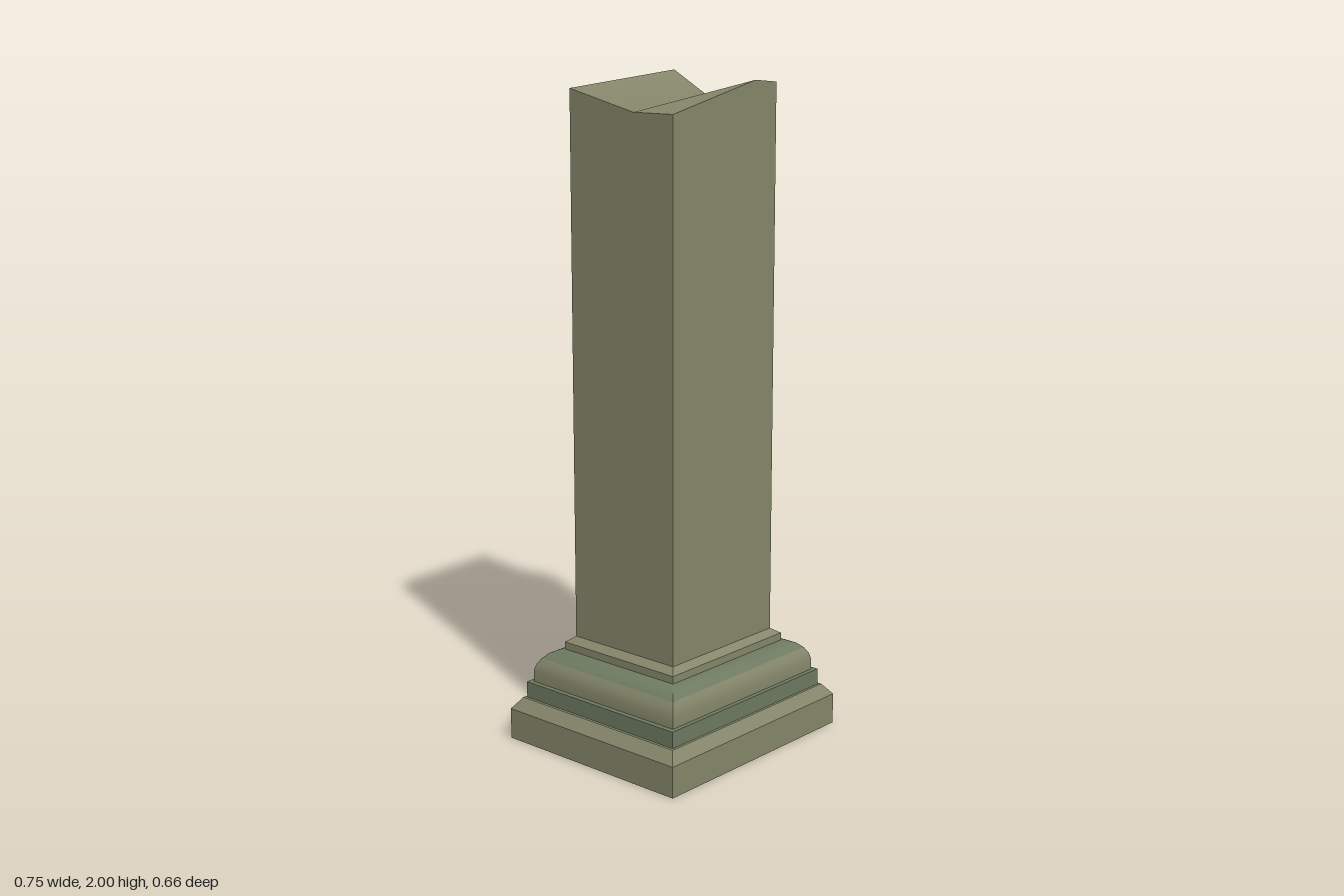
import * as THREE from 'three';
import { toCreasedNormals } from 'three/addons/utils/BufferGeometryUtils.js';

const DEPTH = 0.88; // depth of the pillar relative to its width
const stone = new THREE.MeshStandardMaterial({ color: 0x85866a });
const mossy = new THREE.MeshStandardMaterial({ color: 0x6d7a60 });

// Rectangular moulding: [half width, y] profile swept around four sides
function moulding(name, profile, material) {
  const points = profile.map(([w, y]) => new THREE.Vector2(w * Math.SQRT2, y));
  const geo = new THREE.LatheGeometry(points, 4, Math.PI / 4);
  geo.scale(1, 1, DEPTH);
  const mesh = new THREE.Mesh(toCreasedNormals(geo, 0.6), material);
  mesh.name = name;
  return mesh;
}

// Surface from corner points and triangles; smooth or faceted
function surface(name, points, triangles, smooth) {
  let geo = new THREE.BufferGeometry();
  geo.setAttribute('position', new THREE.Float32BufferAttribute(points.flat(), 3));
  geo.setIndex(triangles.flat());
  if (!smooth) geo = geo.toNonIndexed();
  geo.computeVertexNormals();
  const mesh = new THREE.Mesh(geo, stone);
  mesh.name = name;
  return mesh;
}

export function createModel() {
  const group = new THREE.Group();
  group.name = 'brokenPillar';

  // Stepped base, bottom to top
  group.add(
    moulding('plinth', [[0, 0], [0.376, 0], [0.376, 0.095], [0.347, 0.13], [0.3, 0.13]], stone),
    moulding('baseStep', [[0.338, 0.13], [0.338, 0.18], [0.3, 0.18]], mossy),
    moulding('roundedMouldingLower', [[0.322, 0.18], [0.322, 0.215], [0.316, 0.235], [0.304, 0.253]], stone),
    moulding('roundedMouldingUpper', [[0.304, 0.253], [0.286, 0.269], [0.26, 0.28], [0.22, 0.28]], mossy),
    moulding('collar', [[0.25, 0.28], [0.25, 0.303], [0.224, 0.32]], stone),
  );

  // Broken rim, running from front left around by the +x side and the back
  const W = 0.224, D = 0.197;
  const rim = [
    [-W, 1.91, D], [0.13, 1.988, D], [W, 1.979, D], [W, 1.975, 0.12],
    [W, 1.907, -0.025], [W, 2, -D], [-W, 1.965, -D], [-W, 1.909, 0.05],
  ];
  const n = rim.length;

  // Shaft walls, dropping from the rim to the collar
  const walls = [];
  for (let i = 0; i < n; i++) {
    const j = (i + 1) % n;
    walls.push([i + n, j + n, j], [i + n, j, i]);
  }
  const foot = rim.map(([x, , z]) => [x, 0.31, z]);
  group.add(surface('shaft', [...rim, ...foot], walls, false));

  // Fractured top with a soft valley, and the chipped front corner
  group.add(
    surface('brokenTop', rim, [[0, 1, 7], [1, 3, 7], [3, 4, 7], [4, 5, 7], [5, 6, 7]], true),
    surface('chippedCorner', rim, [[1, 2, 3]], false),
  );
  return group;
}
